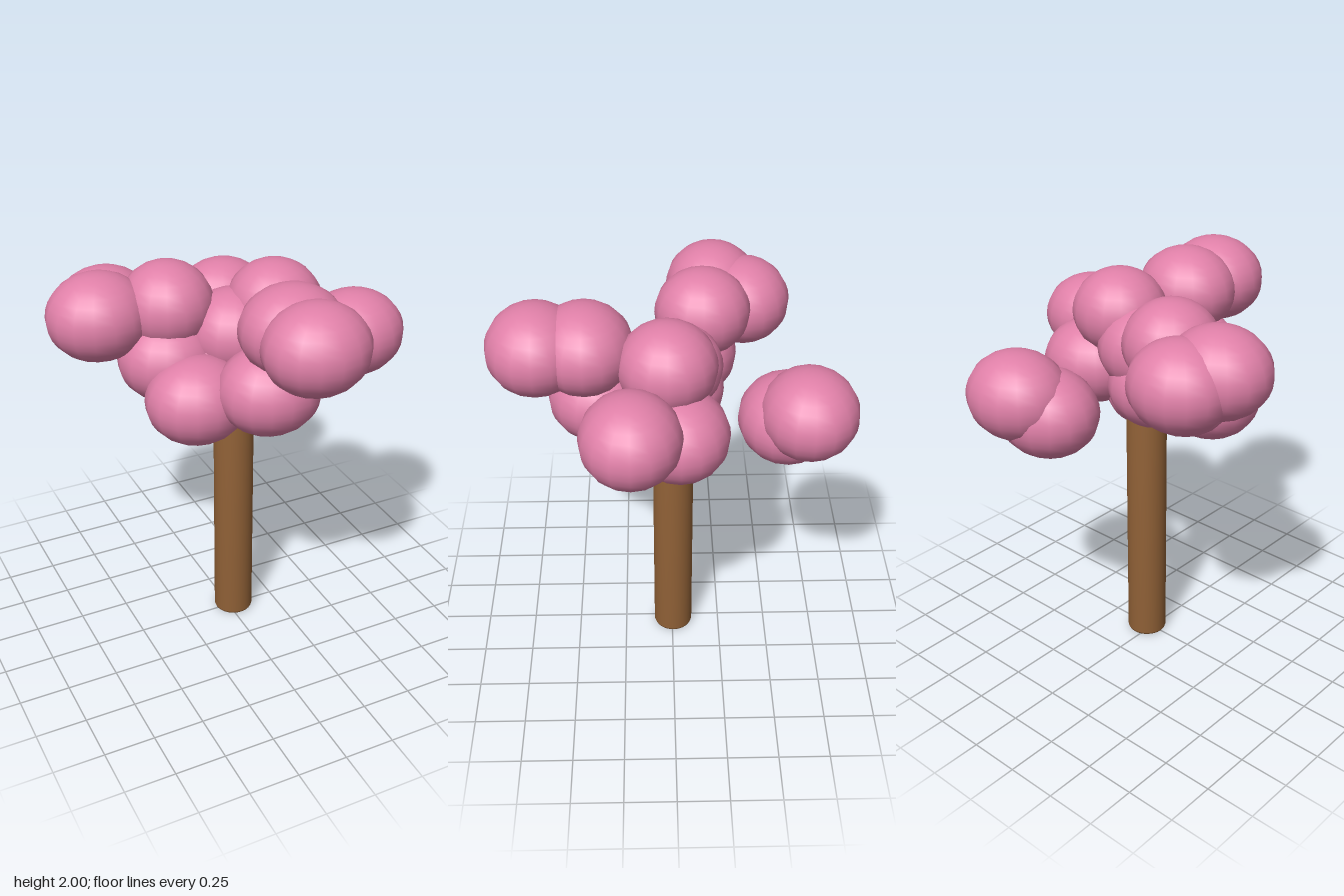
import * as THREE from 'three';

export function createModel() {
  const tree = new THREE.Group();
  tree.name = 'tree';
  const blossomPink = new THREE.MeshStandardMaterial({ color: 0xe080a8 });
  blossomPink.name = 'blossomPink';
  const barkBrown = new THREE.MeshStandardMaterial({ color: 0x8f6036 });
  barkBrown.name = 'barkBrown';

  // Trunk: straight post with a small bevel at the foot
  const profile = [[0, 0], [0.085, 0], [0.096, 0.004], [0.1, 0.015], [0.1, 1.42], [0, 1.42]]
    .map(([r, y]) => new THREE.Vector2(r, y));
  const trunk = new THREE.Mesh(new THREE.LatheGeometry(profile, 32), barkBrown);
  trunk.name = 'trunk';
  trunk.position.set(0.03, 0, -0.005);
  tree.add(trunk);

  // Crown: overlapping flattened puffs, [x, y, z, half width]
  const puffs = [
    [0.12, 1.79, 0.62, 0.25],
    [0.12, 1.79, 0.4, 0.25],
    [0.57, 1.6, 0.19, 0.25],
    [-0.57, 1.74, -0.21, 0.25],
    [-0.48, 1.7, -0.36, 0.245],
    [-0.25, 1.765, -0.15, 0.224],
    [0.227, 1.755, 0.025, 0.23],
    [0.365, 1.475, -0.03, 0.25],
    [0.265, 1.52, -0.625, 0.25],
    [0.165, 1.43, -0.535, 0.25],
    [-0.235, 1.4, 0.155, 0.25],
    [0.035, 1.485, 0.355, 0.25],
    [0.1, 1.37, 0.11, 0.235],
    [-0.275, 1.52, -0.09, 0.245],
    [0.03, 1.63, -0.01, 0.23],
    [-0.04, 1.46, -0.02, 0.23],
  ];
  const ball = new THREE.SphereGeometry(1, 16, 16);
  const crown = new THREE.Group();
  crown.name = 'crown';
  puffs.forEach(([x, y, z, halfWidth], i) => {
    const puff = new THREE.Mesh(ball, blossomPink);
    puff.name = `blossomPuff${i + 1}`;
    puff.position.set(x, y, z);
    puff.scale.set(halfWidth, 0.21, 0.23);
    crown.add(puff);
  });
  tree.add(crown);
  return tree;
}
